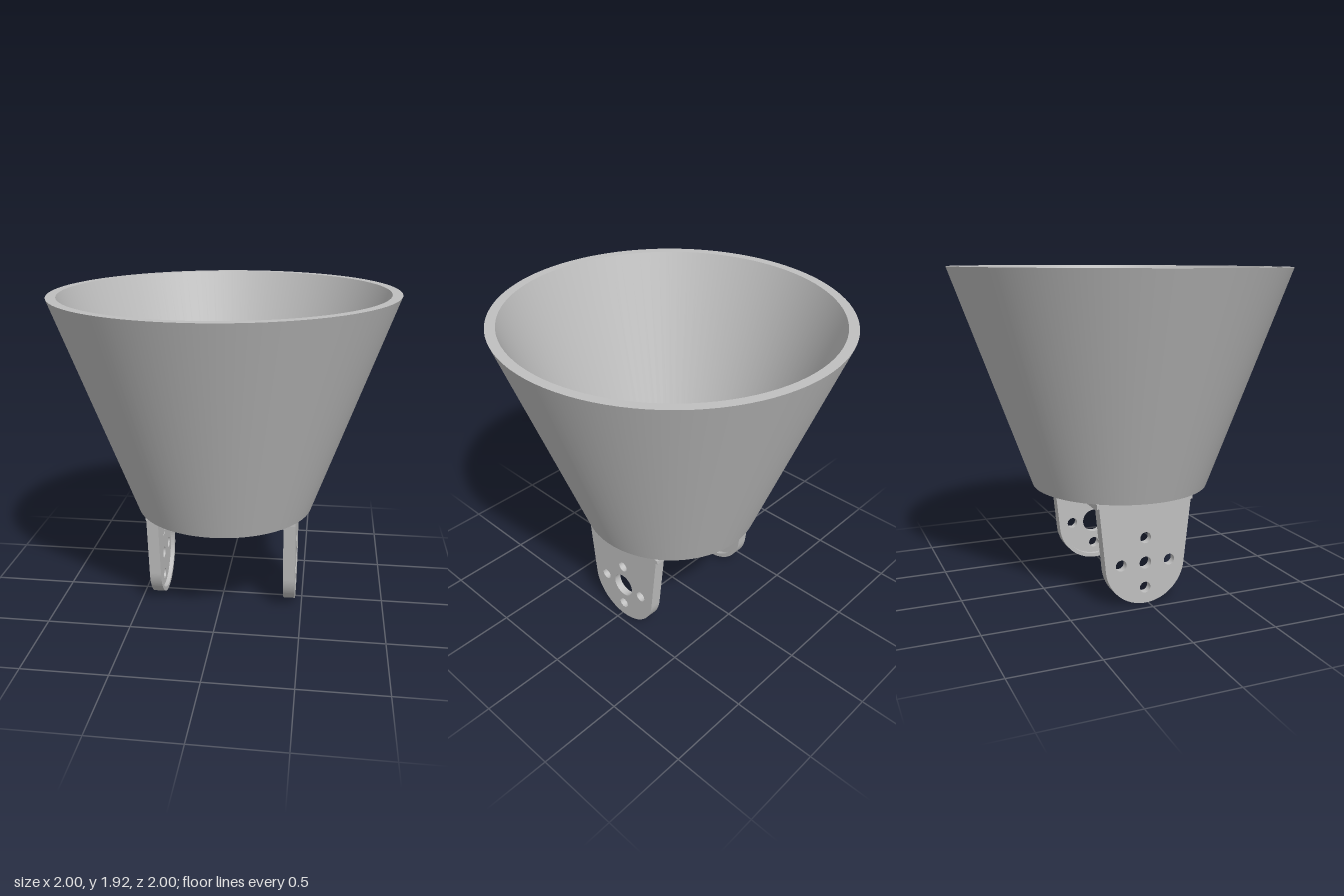
import * as THREE from 'three';

const grey = new THREE.MeshStandardMaterial({ color: 0xbfbfbf });
grey.name = 'plain grey';

const BASE = 0.625; // underside of the bowl
const HUB_Y = 0.25; // centre of the rounded arm end

function addMesh(parent, name, geometry) {
  const mesh = new THREE.Mesh(geometry, grey);
  mesh.name = name;
  parent.add(mesh);
  return mesh;
}

// Rounded tab: tangent sides running down to a circular end
function armShape() {
  const r = 0.245, a = 0.12;
  const s = new THREE.Shape();
  s.moveTo(0.286, BASE);
  s.lineTo(-0.286, BASE);
  s.lineTo(-r * Math.cos(a), HUB_Y - r * Math.sin(a));
  s.absarc(0, HUB_Y, r, Math.PI + a, 2 * Math.PI - a, false);
  s.closePath();
  return s;
}

function addHole(shape, u, y, r) {
  const hole = new THREE.Path();
  hole.absarc(u, y, r, 0, Math.PI * 2, true);
  shape.holes.push(hole);
}

// Slab lying across x, from x0 to x1
function slab(shape, x0, x1) {
  const g = new THREE.ExtrudeGeometry(shape, { depth: x1 - x0, bevelEnabled: false, curveSegments: 40 });
  g.rotateY(Math.PI / 2);
  g.translate(x0, 0, 0);
  return g;
}

// Arm with bolt holes and a round recess on its inner face
function addArm(parent, side, name, hubRadius) {
  const arm = new THREE.Group();
  arm.name = name;
  const outer = armShape();
  addHole(outer, 0, HUB_Y, hubRadius);
  for (let i = 0; i < 4; i++) {
    const t = i * Math.PI / 2;
    addHole(outer, 0.15 * Math.cos(t), HUB_Y + 0.15 * Math.sin(t), 0.033);
  }
  const inner = armShape();
  addHole(inner, 0, HUB_Y, 0.22);
  const [a, b, c] = [0.375, 0.4, 0.445];
  addMesh(arm, 'armPlate', side > 0 ? slab(outer, b, c) : slab(outer, -c, -b));
  addMesh(arm, 'recessRim', side > 0 ? slab(inner, a, b) : slab(inner, -b, -a));
  parent.add(arm);
}

export function createModel() {
  const model = new THREE.Group();
  model.name = 'bowlOnBracket';

  // The whole assembly leans very slightly
  const body = new THREE.Group();
  body.name = 'assembly';
  body.rotation.z = 0.0075;
  body.position.x = 0.0144;
  model.add(body);

  // Bowl: one lathe per profile segment keeps the edges sharp
  const bowl = new THREE.Group();
  bowl.name = 'bowl';
  body.add(bowl);
  const profile = [[0, BASE], [0.53, BASE], [1, 1.918], [0.943, 1.918], [0.49, 0.67], [0, 0.67]]
    .map(([x, y]) => new THREE.Vector2(x, y));
  ['underside', 'outerWall', 'rim', 'innerWall', 'floor'].forEach((name, i) =>
    addMesh(bowl, name, new THREE.LatheGeometry([profile[i], profile[i + 1]], 96)));

  // Bracket: top plate, two edge bars and two arms
  const bracket = new THREE.Group();
  bracket.name = 'bracket';
  bracket.position.z = -0.02;
  body.add(bracket);
  addMesh(bracket, 'topPlate', new THREE.BoxGeometry(0.89, 0.025, 0.592)).position.y = BASE - 0.0125;
  for (const side of [-1, 1]) {
    addMesh(bracket, side > 0 ? 'frontBar' : 'backBar', new THREE.BoxGeometry(0.76, 0.028, 0.03))
      .position.set(0, 0.587, side * 0.262);
  }
  addArm(bracket, 1, 'leftArm', 0.075);
  addArm(bracket, -1, 'rightArm', 0.036);

  return model;
}
